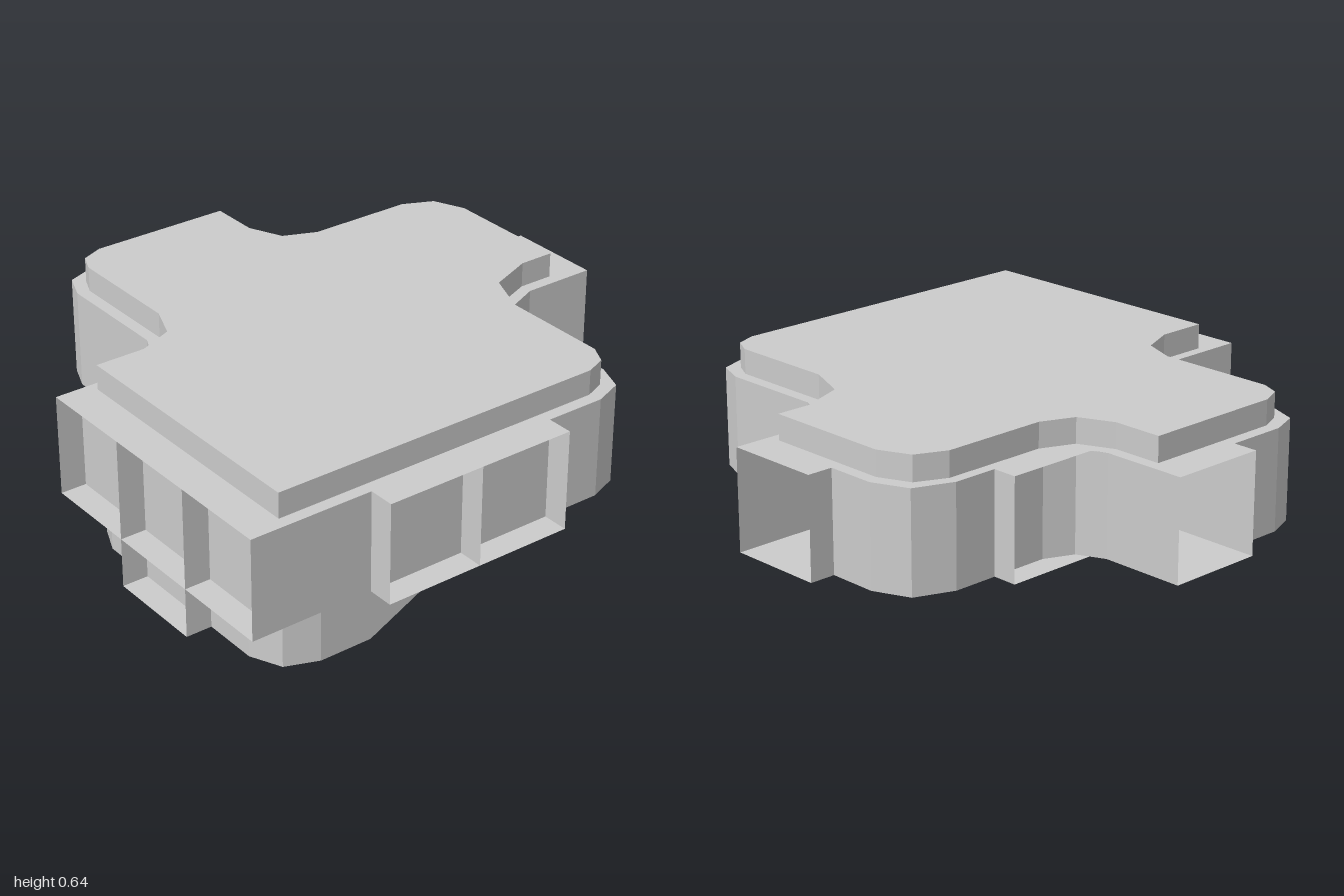
import * as THREE from 'three';

const FLOOR = 0.18, ROOF = 0.545, TOP = 0.636;

export function createModel() {
  const group = new THREE.Group();
  const solidMat = new THREE.MeshStandardMaterial({ color: 0xcccccc, flatShading: true });
  const thinMat = new THREE.MeshStandardMaterial({ color: 0xcccccc, flatShading: true, side: THREE.DoubleSide });

  const add = (name, geometry, material) => {
    const mesh = new THREE.Mesh(geometry, material);
    mesh.name = name;
    group.add(mesh);
    return mesh;
  };
  const shapeOf = (pts) => new THREE.Shape(pts.map(([a, b]) => new THREE.Vector2(a, b)));
  const extrude = (pts, depth) => new THREE.ExtrudeGeometry(shapeOf(pts), { depth, bevelEnabled: false });

  // Solid with a plan outline in (x, z)
  const slab = (name, pts, y0, y1) =>
    add(name, extrude(pts, y1 - y0).rotateX(Math.PI / 2).translate(0, y1, 0), solidMat);
  // Thin horizontal sheet with a plan outline in (x, z)
  const sheet = (name, pts, y) =>
    add(name, new THREE.ShapeGeometry(shapeOf(pts)).rotateX(Math.PI / 2).translate(0, y, 0), thinMat);
  // Thin upright wall that follows a path in (x, z)
  const wall = (name, pts, y0, y1) => {
    const pos = [];
    for (let i = 0; i < pts.length - 1; i++) {
      const [ax, az] = pts[i], [bx, bz] = pts[i + 1];
      pos.push(ax, y0, az, ax, y1, az, bx, y1, bz, ax, y0, az, bx, y1, bz, bx, y0, bz);
    }
    const g = new THREE.BufferGeometry();
    g.setAttribute('position', new THREE.Float32BufferAttribute(pos, 3));
    g.computeVertexNormals();
    return add(name, g, thinMat);
  };

  // Curved stretches shared by the walls, the roof and the floor
  const backLeftCurve = [[-0.69, -0.18], [-0.59, -0.23], [-0.545, -0.33], [-0.545, -0.77], [-0.505, -0.87], [-0.4, -0.909], [-0.18, -0.909]];
  const sideCurve = [[0.71, -0.545], [0.85, -0.49], [0.905, -0.36], [0.905, -0.18]];
  const frontCurve = [[0.73, 0.18], [0.6, 0.235], [0.545, 0.37], [0.545, 0.76], [0.505, 0.865], [0.4, 0.905]];

  // Full plan, including the overhangs above and below the open bays
  const plan = [
    [-1, -0.18], ...backLeftCurve, [-0.18, -1], [0.18, -1], [0.18, -0.69], [0.2, -0.636],
    [0.545, -0.636], [0.545, -0.545], ...sideCurve, [1, -0.18], [1, 0.18], ...frontCurve,
    [0.18, 0.905], [0.18, 1], [-0.545, 1], [-0.545, 0.905], [-1, 0.905],
  ];
  sheet('roof', plan, ROOF);
  sheet('floor', plan, FLOOR);

  // Main walls, stepping back into the bays
  wall('mainWall', [
    [-0.905, -0.18], ...backLeftCurve,
    [-0.18, -0.545], [0.04, -0.545], [0.135, -0.59], [0.18, -0.69], [0.225, -0.59], [0.33, -0.545],
    ...sideCurve, [0.73, -0.18], [0.6, -0.135], [0.545, 0], [0.545, 0.18],
    ...frontCurve, [-0.905, 0.905], [-0.905, -0.18],
  ], FLOOR, ROOF);

  // Thin dividers of the open bays
  for (const x of [-0.545, -0.18, 0.18]) wall('frontBayDivider', [[x, 0.905], [x, 1]], FLOOR, ROOF);
  for (const z of [-0.18, 0.18, 0.545, 0.905]) wall('sideBayDivider', [[-1, z], [-0.905, z]], FLOOR, ROOF);
  wall('rightDoorWall', [[0.905, -0.18], [1, -0.18]], FLOOR, ROOF);
  wall('rightDoorWall', [[0.73, 0.18], [1, 0.18]], FLOOR, ROOF);
  wall('backDoorWall', [[-0.18, -1], [-0.18, -0.909]], FLOOR, ROOF);
  wall('backDoorWall', [[0.18, -1], [0.18, -0.69]], FLOOR, ROOF);
  wall('nookWall', [[0.545, -0.636], [0.545, -0.545]], FLOOR, ROOF);

  // Raised top slab, set in from the edge
  slab('topSlab', [
    [-0.864, -0.14], [-0.68, -0.14], [-0.55, -0.195], [-0.5, -0.32], [-0.5, -0.76], [-0.47, -0.83], [-0.39, -0.864],
    [0.135, -0.864], [0.135, -0.68], [0.19, -0.555], [0.31, -0.505], [0.7, -0.505], [0.81, -0.455], [0.86, -0.34],
    [0.86, 0.135], [0.73, 0.135], [0.565, 0.2], [0.5, 0.36], [0.5, 0.76], [0.465, 0.83], [0.39, 0.86], [-0.864, 0.86],
  ], ROOF, TOP);

  // Lower level: rounded base with a ramp rising along x
  slab('lowerBase', [
    [-0.545, -0.18], [-0.76, -0.18], [-0.86, -0.135], [-0.905, -0.03],
    [-0.905, 0.75], [-0.855, 0.86], [-0.74, 0.905], [-0.545, 0.905],
  ], 0, FLOOR);
  add('sideRamp', extrude([[-0.545, 0], [-0.18, FLOOR], [-0.545, FLOOR]], 1.085).translate(0, 0, -0.18), solidMat);

  // Middle block with a ramp rising toward the back
  const block = extrude([[0.636, 0], [0.636, FLOOR], [-0.18, FLOOR], [0.18, 0]], 0.36);
  add('middleRampBlock', block.rotateY(-Math.PI / 2).translate(0.18, 0, 0), solidMat);

  // Open bay on the lower level
  sheet('lowerBayFloor', [[-1, 0.18], [-0.905, 0.18], [-0.905, 0.545], [-1, 0.545]], 0);
  for (const z of [0.18, 0.545]) wall('lowerBayDivider', [[-1, z], [-0.905, z]], 0, FLOOR);

  return group;
}
